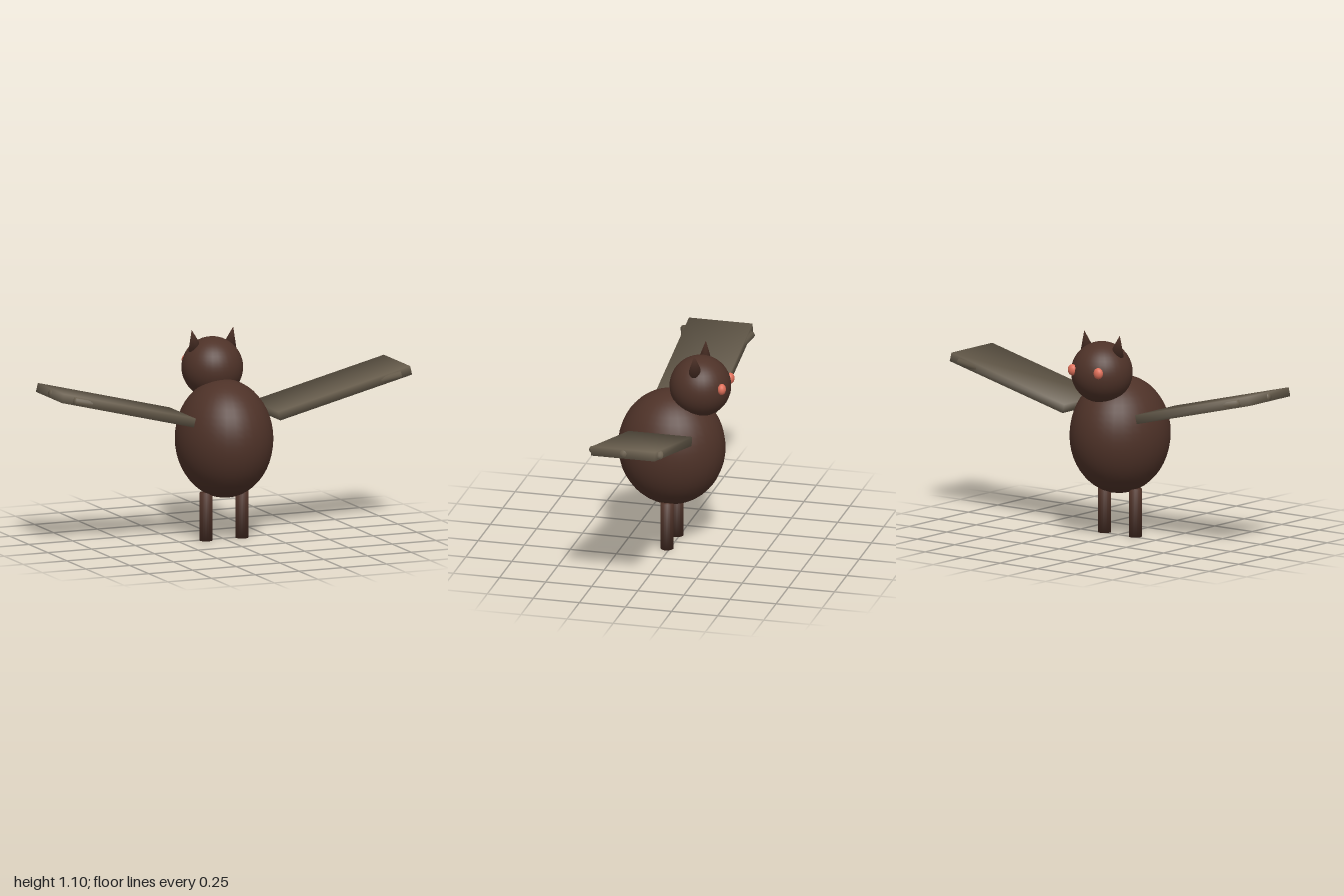
import * as THREE from 'three';

const material = (name, color) => {
  const m = new THREE.MeshStandardMaterial({ color });
  m.name = name;
  return m;
};

// Share one averaged normal between all faces meeting at a corner
function soften(geometry) {
  const pos = geometry.attributes.position, nor = geometry.attributes.normal;
  const sums = new Map();
  const p = new THREE.Vector3(), n = new THREE.Vector3();
  const key = (i) => p.fromBufferAttribute(pos, i).toArray().map((v) => Math.round(v * 1e4)).join();
  for (let i = 0; i < pos.count; i++) {
    const k = key(i);
    if (!sums.has(k)) sums.set(k, new THREE.Vector3());
    sums.get(k).add(n.fromBufferAttribute(nor, i));
  }
  for (let i = 0; i < pos.count; i++) {
    n.copy(sums.get(key(i))).normalize();
    nor.setXYZ(i, n.x, n.y, n.z);
  }
  return geometry;
}

function add(parent, name, geometry, mat, x, y, z) {
  const mesh = new THREE.Mesh(geometry, mat);
  mesh.name = name;
  mesh.position.set(x, y, z);
  parent.add(mesh);
  return mesh;
}

export function createModel() {
  const fur = material('brown fur', 0x4e3228);
  const membrane = material('wing taupe', 0x6b604f);
  const coral = material('coral eye', 0xe0705a);

  const model = new THREE.Group();
  model.name = 'bat';

  // Egg-shaped body and round head, looking towards -z
  const body = add(model, 'body', new THREE.SphereGeometry(1, 32, 24), fur, 0, 0.537, 0.016);
  body.scale.set(0.254, 0.313, 0.284);
  add(model, 'head', new THREE.SphereGeometry(0.162, 32, 24), fur, 0, 0.89, -0.139);

  for (const side of [1, -1]) {
    const label = side > 0 ? 'left' : 'right';

    // Ear, leaning outwards
    const ear = add(model, label + 'Ear', soften(new THREE.ConeGeometry(0.04, 0.113, 20)), fur,
      side * 0.107, 1.042, -0.137);
    ear.rotation.z = -side * 0.21;

    // Eye
    const eye = add(model, label + 'Eye', new THREE.SphereGeometry(1, 16, 12), coral,
      side * 0.086, 0.912, -0.278);
    eye.scale.set(0.027, 0.03, 0.022);

    // Leg
    add(model, label + 'Leg', soften(new THREE.CylinderGeometry(0.034, 0.034, 0.256, 20)), fur,
      side * 0.102, 0.128, 0.015);

    // Raised wing: a slab with three finger bones fanning from its root
    const wing = new THREE.Group();
    wing.name = label + 'Wing';
    wing.position.set(side * 0.618, 0.76, 0.015);
    wing.rotation.z = side * 0.244;
    model.add(wing);
    add(wing, 'wingMembrane', soften(new THREE.BoxGeometry(0.776, 0.048, 0.345)), membrane, 0, 0, 0);
    for (const fan of [-1, 0, 1]) {
      const root = new THREE.Vector3(side * -0.37, 0, 0);
      const tip = new THREE.Vector3(side * (fan ? 0.325 : 0.39), 0, fan * 0.183);
      const dir = tip.clone().sub(root);
      const bone = add(wing, 'fingerBone', soften(new THREE.CylinderGeometry(0.019, 0.019, dir.length(), 12)),
        membrane, ...root.add(tip).multiplyScalar(0.5).toArray());
      bone.quaternion.setFromUnitVectors(new THREE.Vector3(0, 1, 0), dir.normalize());
    }
  }
  return model;
}
